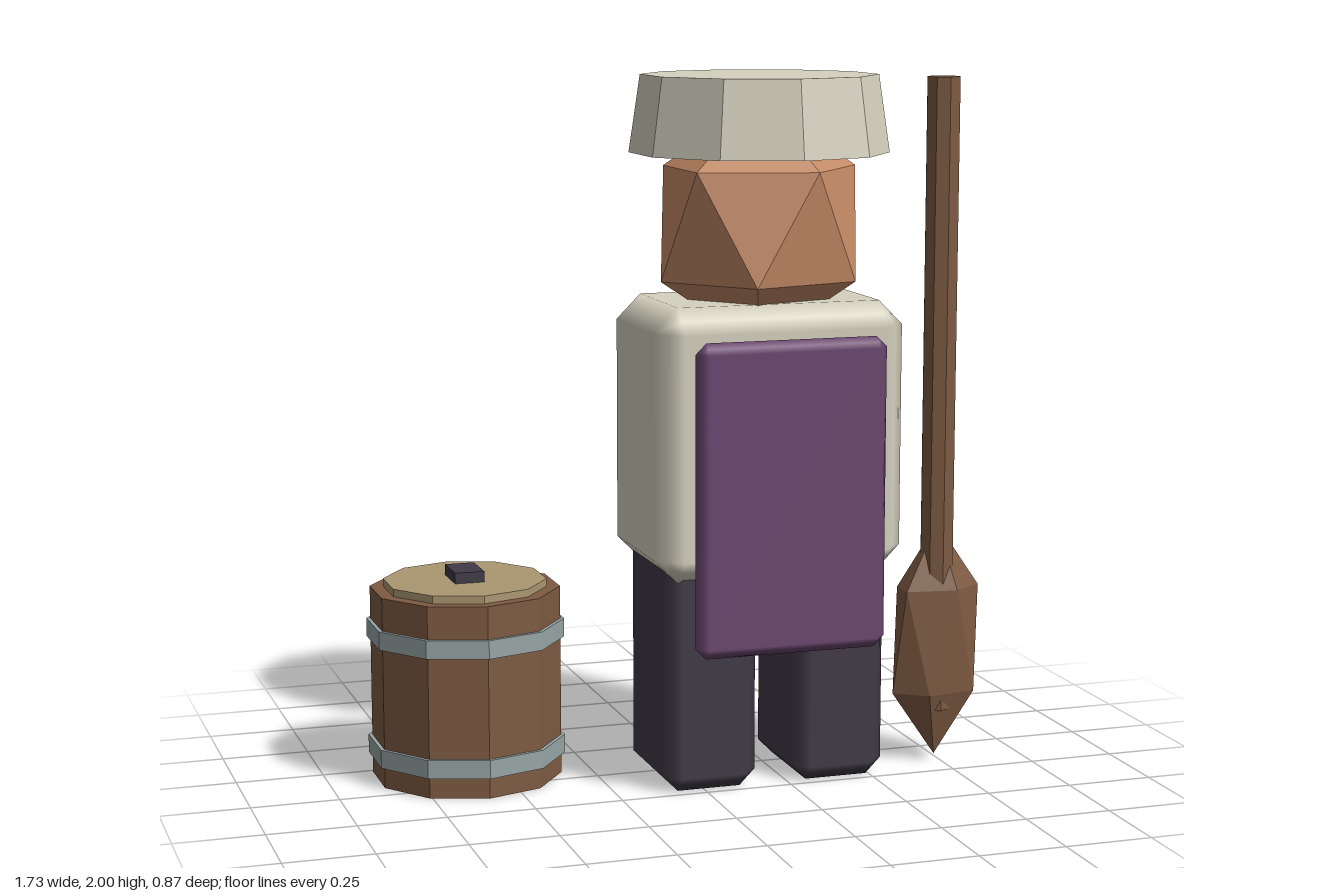
import * as THREE from 'three';
import { RoundedBoxGeometry } from 'three/addons/geometries/RoundedBoxGeometry.js';
import { ConvexGeometry } from 'three/addons/geometries/ConvexGeometry.js';

function mat(name, color, flatShading = false) {
  const m = new THREE.MeshStandardMaterial({ color, flatShading });
  m.name = name;
  return m;
}

// Box with single-step bevels and softly blended normals
function bevelBox(w, h, d, r) {
  const g = new RoundedBoxGeometry(w, h, d, 1, r);
  const p = g.attributes.position, n = g.attributes.normal;
  const v = new THREE.Vector3(), k = new THREE.Vector3();
  for (let i = 0; i < p.count; i++) {
    v.fromBufferAttribute(p, i);
    k.fromBufferAttribute(n, i);
    const l1 = Math.abs(k.x) + Math.abs(k.y) + Math.abs(k.z);
    v.addScaledVector(k, r / l1 - r);
    p.setXYZ(i, v.x, v.y, v.z);
  }
  return g;
}

// Stretched icosahedron with its poles on the y axis
function facetedGem(rx, ry, rz) {
  const pts = [new THREE.Vector3(0, ry, 0), new THREE.Vector3(0, -ry, 0)];
  const ring = 2 / Math.sqrt(5), level = 1 / Math.sqrt(5);
  for (let i = 0; i < 5; i++) {
    const a = (i * Math.PI * 2) / 5;
    const x = Math.cos(a) * ring * rx, z = Math.sin(a) * ring * rz;
    pts.push(new THREE.Vector3(x, level * ry, z), new THREE.Vector3(-x, -level * ry, z));
  }
  return new ConvexGeometry(pts);
}

export function createModel() {
  const model = new THREE.Group();
  model.name = 'cookWithPaddleAndBarrel';

  const cloth = mat('cream cloth', 0xd6d2c0);
  const hatCloth = cloth.clone();
  hatCloth.flatShading = true;
  hatCloth.name = 'cream hat cloth';
  const skin = mat('skin', 0xc48a66, true);
  const purple = mat('purple apron', 0x6c4770);
  const dark = mat('dark trousers', 0x403a46);
  const wood = mat('brown wood', 0x7e5b42, true);
  const lidWood = mat('pale lid wood', 0xab9871, true);
  const iron = mat('grey iron', 0x97a5a6, true);

  const add = (parent, name, geometry, material, x, y, z) => {
    const mesh = new THREE.Mesh(geometry, material);
    mesh.name = name;
    mesh.position.set(x, y, z);
    parent.add(mesh);
    return mesh;
  };
  // Faceted upright drum from y0 to y1
  const drum = (parent, name, rTop, rBottom, y0, y1, sides, material, x, z) =>
    add(parent, name, new THREE.CylinderGeometry(rTop, rBottom, y1 - y0, sides), material, x, (y0 + y1) / 2, z);

  // Figure
  const figure = new THREE.Group();
  figure.name = 'figure';
  figure.position.set(0.208, 0, 0.07);
  model.add(figure);
  for (const side of [-1, 1]) {
    add(figure, side < 0 ? 'rightLeg' : 'leftLeg', bevelBox(0.274, 0.7, 0.37, 0.045), dark, side * 0.192, 0.35, 0);
  }
  add(figure, 'torso', bevelBox(0.73, 0.77, 0.49, 0.07), cloth, 0, 0.992, 0);
  add(figure, 'apron', bevelBox(0.554, 0.878, 0.064, 0.03), purple, 0, 0.852, 0.28);
  add(figure, 'head', facetedGem(0.322, 0.35, 0.29), skin, 0, 1.585, 0);
  drum(figure, 'hat', 0.333, 0.365, 1.783, 2, 10, hatCloth, 0, 0);

  // Paddle
  const paddle = new THREE.Group();
  paddle.name = 'paddle';
  paddle.position.set(0.733, 0, 0.143);
  model.add(paddle);
  drum(paddle, 'paddleHandle', 0.05, 0.05, 0.16, 1.99, 8, wood, 0, 0);
  add(paddle, 'paddleBlade', facetedGem(0.147, 0.345, 0.072), wood, 0, 0.364, 0);

  // Barrel
  const barrel = new THREE.Group();
  barrel.name = 'barrel';
  barrel.position.set(-0.598, 0, -0.153);
  model.add(barrel);
  drum(barrel, 'barrelBody', 0.272, 0.272, 0, 0.55, 10, wood, 0, 0);
  for (const y of [0.06, 0.403]) {
    drum(barrel, 'barrelHoop', 0.283, 0.283, y, y + 0.053, 10, iron, 0, 0);
  }
  drum(barrel, 'barrelLid', 0.234, 0.234, 0.54, 0.572, 10, lidWood, 0, 0);
  add(barrel, 'lidKnob', new THREE.BoxGeometry(0.085, 0.04, 0.125), dark, 0, 0.583, 0);

  return model;
}
